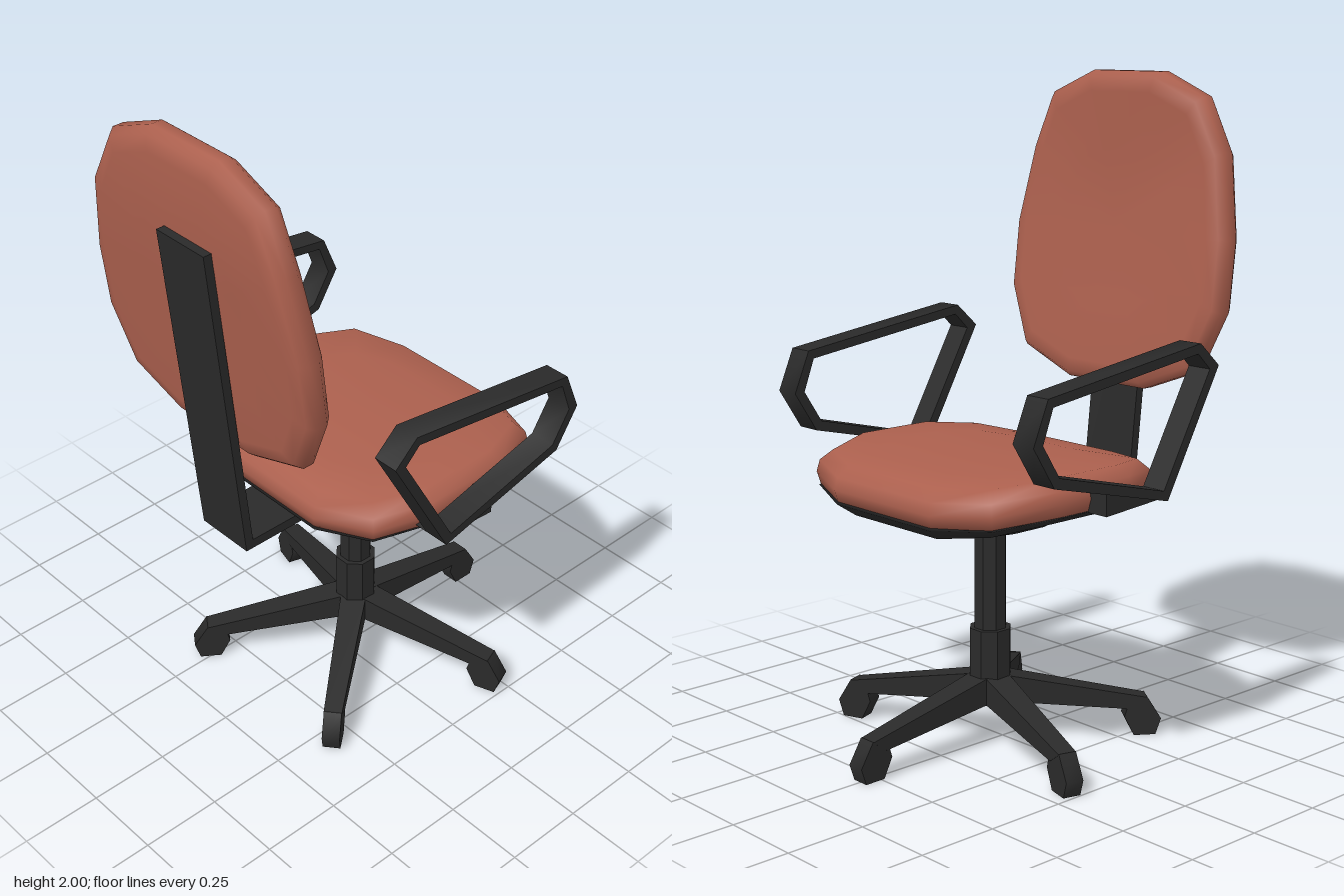
import * as THREE from 'three';
import { toCreasedNormals } from 'three/addons/utils/BufferGeometryUtils.js';

const fabric = new THREE.MeshStandardMaterial({ color: 0xac604e });
fabric.name = 'terracotta fabric';
const plastic = new THREE.MeshStandardMaterial({ color: 0x2a2a2a });
plastic.name = 'black plastic';

function add(parent, name, geometry, material) {
  const mesh = new THREE.Mesh(geometry, material);
  mesh.name = name;
  parent.add(mesh);
  return mesh;
}

// Smooth skin through closed rings of points, closed by a centre point at each end
function loft(rings, start, end) {
  const n = rings[0].length;
  const pos = [...rings.flat(2), ...start, ...end];
  const idx = [];
  const s = rings.length * n, e = s + 1, last = s - n;
  for (let j = 0; j < n; j++) {
    const k = (j + 1) % n;
    for (let i = 0; i < rings.length - 1; i++) {
      const a = i * n + j, b = i * n + k;
      idx.push(a, b, b + n, a, b + n, a + n);
    }
    idx.push(s, k, j, e, last + j, last + k);
  }
  const g = new THREE.BufferGeometry();
  g.setAttribute('position', new THREE.Float32BufferAttribute(pos, 3));
  g.setIndex(idx);
  g.computeVertexNormals();
  return g;
}

// Side profile in x,y extruded to a width centred on z = 0; a hole runs against its outline
function slab(points, width, hole) {
  const vectors = list => list.map(p => new THREE.Vector2(...p));
  const shape = new THREE.Shape(vectors(points));
  if (hole) shape.holes.push(new THREE.Path(vectors(hole).reverse()));
  const g = new THREE.ExtrudeGeometry(shape, { depth: width, bevelEnabled: false });
  return toCreasedNormals(g.translate(0, 0, -width / 2), 1);
}

// Seat outline in x,z, and rings of [scale, height, rise towards the sides]
const SEAT_X = 0.08;
const seatOutline = [[-0.07, 0.46], [0.21, 0.46], [0.4, 0.385], [0.47, 0.21], [0.47, -0.21], [0.4, -0.39],
  [0.21, -0.465], [-0.07, -0.465], [-0.24, -0.39], [-0.312, -0.21], [-0.312, 0.21], [-0.24, 0.385]];
function seatLoft(rings, bottomY, topY) {
  const pts = rings.map(([s, y, rise]) => seatOutline.map(([x, z]) => {
    const dx = (x - SEAT_X) * s, dz = z * s;
    return [SEAT_X + dx, y - 0.025 * (dx / 0.39) ** 2 + rise * (dz / 0.46) ** 2, dz];
  }));
  return loft(pts, [SEAT_X, bottomY, 0], [SEAT_X, topY, 0]);
}

function createSeat() {
  const seat = new THREE.Group();
  seat.name = 'seat';
  add(seat, 'seatCushion', seatLoft([[0.9, 0.795, 0.015], [0.975, 0.798, 0.012], [1, 0.835, 0.014],
    [0.98, 0.87, 0.016], [0.9, 0.898, 0.02], [0.6, 0.906, 0.015]], 0.795, 0.906), fabric);
  // Dished shell with a shallow boss around the column
  add(seat, 'seatShell', seatLoft([[0.42, 0.7, 0], [0.54, 0.722, 0.05], [0.86, 0.745, 0.045],
    [0.985, 0.79, 0.02], [0.97, 0.802, 0.012]], 0.698, 0.802), plastic);
  return seat;
}

function createBackrest() {
  const back = new THREE.Group();
  back.name = 'backrest';
  // Outline in y,z; the lower part leans and the top stands upright
  const outline = [[2, -0.17], [2, 0.105], [1.93, 0.28], [1.77, 0.36], [1.52, 0.41], [1.31, 0.41], [1.13, 0.33],
    [1.055, 0.125], [1.055, -0.19], [1.13, -0.385], [1.31, -0.465], [1.52, -0.465], [1.77, -0.42], [1.93, -0.34]];
  const lean = y => y < 1.75 ? -0.424 - (y - 1.06) * 0.117 : -0.505 + (y - 1.75) * 0.02;
  const CY = 1.53, CZ = -0.03;
  const rings = [[0.5, -0.047], [0.87, -0.051], [0.96, -0.041], [1, -0.018], [1, 0.018], [0.96, 0.041],
    [0.87, 0.05], [0.5, 0.043]].map(([s, d]) => outline.map(([y, z]) => {
    const yy = CY + (y - CY) * s, zz = (z - CZ) * s;
    return [lean(yy) + d, yy, CZ + zz];
  }));
  add(back, 'backCushion', loft(rings, [lean(CY) - 0.047, CY, CZ], [lean(CY) + 0.04, CY, CZ]), fabric);
  // Bent flat bar joining the back to the seat
  add(back, 'backBar', slab([[-0.577, 1.742], [-0.47, 0.712], [-0.1, 0.712], [-0.1, 0.742],
    [-0.445, 0.742], [-0.55, 1.742]], 0.195), plastic);
  return back;
}

function createArmrest(side) {
  const arm = new THREE.Group();
  arm.name = side > 0 ? 'leftArmrest' : 'rightArmrest';
  const outer = [[-0.325, 1.185], [-0.247, 1.256], [0.352, 1.175], [0.405, 1.05], [0.327, 0.928], [-0.12, 0.82]];
  const inner = [[-0.287, 1.178], [-0.237, 1.227], [0.333, 1.15], [0.37, 1.052], [0.308, 0.955], [-0.103, 0.852]];
  add(arm, 'armLoop', slab(outer, 0.08, inner), plastic).position.z = side * 0.517;
  // Wedge bracket reaching into the seat
  add(arm, 'armBracket', slab([[-0.12, 0.82], [0.095, 0.805], [0.095, 0.87]], 0.09), plastic).position.z = side * 0.48;
  return arm;
}

function createBase() {
  const base = new THREE.Group();
  base.name = 'base';
  base.position.x = 0.05;
  const column = (name, r, y0, y1) => {
    const g = new THREE.CylinderGeometry(r, r, y1 - y0, 8).toNonIndexed();
    g.rotateY(Math.PI / 8);
    g.computeVertexNormals();
    add(base, name, g, plastic).position.y = (y0 + y1) / 2;
  };
  column('upperColumn', 0.05, 0.35, 0.72);
  column('lowerColumn', 0.065, 0.14, 0.36);
  // Five legs with casters, leg profile running outwards along x
  for (const angle of [0, -70, -141, 74.5, 145]) {
    const leg = new THREE.Group();
    leg.name = 'leg';
    leg.rotation.y = THREE.MathUtils.degToRad(angle);
    const arm = slab([[0, 0.13], [0.06, 0.13], [0.43, 0.085], [0.48, 0.12], [0.04, 0.216], [0, 0.216]], 0.055);
    const p = arm.attributes.position;
    for (let i = 0; i < p.count; i++) p.setZ(i, p.getZ(i) * (1.5 - p.getX(i)));
    arm.computeVertexNormals();
    add(leg, 'legArm', arm, plastic);
    add(leg, 'caster', slab([[0.44, 0], [0.507, 0], [0.524, 0.05], [0.48, 0.122], [0.425, 0.11],
      [0.41, 0.06]], 0.055), plastic);
    base.add(leg);
  }
  return base;
}

export function createModel() {
  const chair = new THREE.Group();
  chair.name = 'officeChair';
  chair.add(createSeat(), createBackrest(), createArmrest(1), createArmrest(-1), createBase());
  return chair;
}
